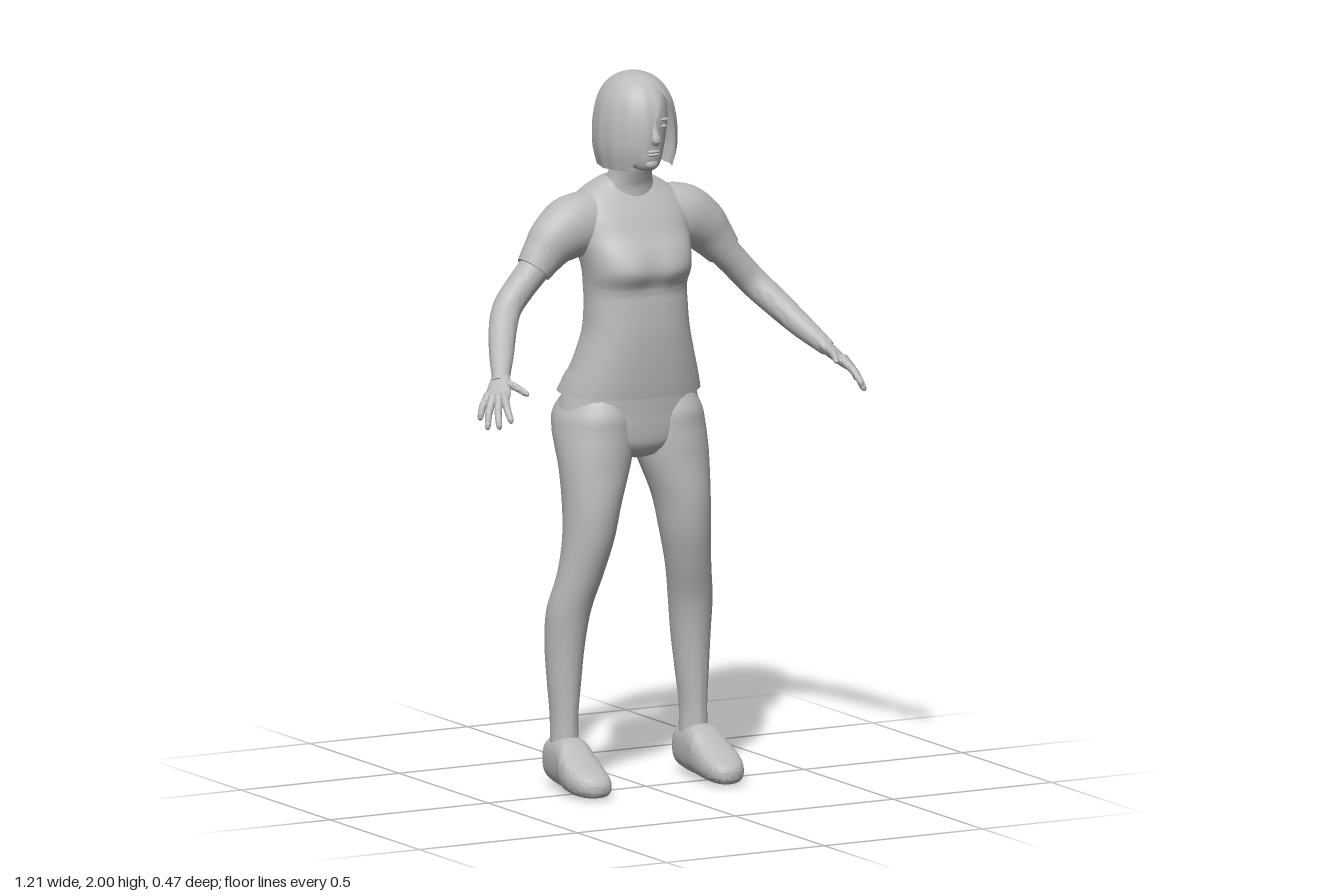
import * as THREE from 'three';
import { toCreasedNormals } from 'three/addons/utils/BufferGeometryUtils.js';

const V = (x, y, z) => new THREE.Vector3(x, y, z);

// Catmull-Rom interpolation of rows of numbers
function smooth(rows, n = 5) {
  const out = [], last = rows.length - 1;
  for (let i = 0; i < last; i++) {
    const [a, b, c, d] = [rows[Math.max(i - 1, 0)], rows[i], rows[i + 1], rows[Math.min(i + 2, last)]];
    for (let k = 0; k < n; k++) {
      const t = k / n;
      out.push(b.map((p, j) => p + 0.5 * t * (c[j] - a[j]
        + t * (2 * a[j] - 5 * p + 4 * c[j] - d[j] + t * (3 * (p - c[j]) + d[j] - a[j])))));
    }
  }
  out.push(rows[last]);
  return out;
}

// Closed skin over superellipse sections {c, u, v}; s = -1 mirrors it in x
function loft(sections, { sides = 32, power = 2, s = 1, tweak = null } = {}) {
  const pos = [], idx = [], n = sections.length;
  const sp = (w) => Math.sign(w) * Math.pow(Math.abs(w), 2 / power);
  const put = (p) => { if (tweak) tweak(p); pos.push(p.x * s, p.y, p.z); };
  for (const { c, u, v } of sections) {
    for (let j = 0; j < sides; j++) {
      const a = (j / sides) * Math.PI * 2;
      put(c.clone().addScaledVector(u, sp(Math.cos(a))).addScaledVector(v, sp(Math.sin(a))));
    }
  }
  put(sections[0].c.clone());
  put(sections[n - 1].c.clone());
  for (let j = 0; j < sides; j++) {
    const k = (j + 1) % sides, e = (n - 1) * sides;
    for (let i = 0; i < n - 1; i++) {
      const o = i * sides, q = o + sides;
      idx.push(o + j, q + j, o + k, o + k, q + j, q + k);
    }
    idx.push(n * sides, j, k, n * sides + 1, e + k, e + j);
  }
  // Turn the skin outward by the sign of its volume
  const at = (i) => V(pos[3 * i], pos[3 * i + 1], pos[3 * i + 2]);
  let volume = 0;
  for (let i = 0; i < idx.length; i += 3) volume += at(idx[i]).dot(at(idx[i + 1]).cross(at(idx[i + 2])));
  if (volume < 0) idx.reverse();
  const g = new THREE.BufferGeometry();
  g.setAttribute('position', new THREE.Float32BufferAttribute(pos, 3));
  g.setIndex(idx);
  return toCreasedNormals(g, 1.0);
}

// Upright rows: y, centre x, half width, front z, back z
const upright = (rows) => smooth(rows).map(([y, x, r, f, b]) =>
  ({ c: V(x, y, (f + b) / 2), u: V(r, 0, 0), v: V(0, 0, (f - b) / 2) }));

// Lengthwise rows: z, centre x, half width, top y, bottom y
const lengthwise = (rows) => smooth(rows).map(([z, x, r, t, b]) =>
  ({ c: V(x, (t + b) / 2, z), u: V(r, 0, 0), v: V(0, (t - b) / 2, 0) }));

// Limb rows: x, y, z, radius across, radius along ref
function limb(rows, ref = V(0, 0, 1)) {
  const p = smooth(rows.map((r) => (r.length < 5 ? [...r, r[3]] : r)));
  return p.map((r, i) => {
    const a = p[Math.max(i - 1, 0)], b = p[Math.min(i + 1, p.length - 1)];
    const t = V(b[0] - a[0], b[1] - a[1], b[2] - a[2]).normalize();
    const u = t.clone().cross(ref).normalize();
    const v = u.clone().cross(t);
    return { c: V(r[0], r[1], r[2]), u: u.multiplyScalar(r[3]), v: v.multiplyScalar(r[4]) };
  });
}

// Bob haircut: a dome whose lower edge sweeps across the face
function hairGeometry() {
  const profile = [[2, 0], [1.995, 0.27], [1.98, 0.53], [1.955, 0.74], [1.92, 0.89], [1.87, 0.98],
    [1.82, 1], [1.78, 0.97], [1.73, 0.86]];
  const edge = [[-180, 1.75], [-90, 1.735], [-45, 1.735], [-28, 1.77], [0, 1.89], [20, 1.96], [30, 1.92],
    [45, 1.79], [56, 1.735], [90, 1.735], [180, 1.75]];
  const lerp = (table, x) => {
    let i = 0;
    while (i < table.length - 2 && (x - table[i + 1][0]) * (table[1][0] - table[0][0]) > 0) i++;
    const [a, b] = [table[i], table[i + 1]];
    return a[1] + (b[1] - a[1]) * (x - a[0]) / (b[0] - a[0]);
  };
  const curve = smooth(profile, 6);
  const cols = 96, rows = 28, pos = [], idx = [];
  for (let i = 0; i <= rows; i++) {
    for (let j = 0; j <= cols; j++) {
      const deg = -180 + (360 * j) / cols, a = THREE.MathUtils.degToRad(deg);
      const t = i / rows, y = 2 - (2 - lerp(edge, deg)) * Math.pow(t, 1.6);
      const r = lerp(curve, y) * (1 + 0.012 * t * Math.sin(a * 15));
      pos.push(0.112 * r * Math.sin(a), y, -0.065 + 0.135 * r * Math.cos(a));
      if (i < rows && j < cols) {
        const o = i * (cols + 1) + j, q = o + cols + 1;
        idx.push(o, q, o + 1, o + 1, q, q + 1);
      }
    }
  }
  const g = new THREE.BufferGeometry();
  g.setAttribute('position', new THREE.Float32BufferAttribute(pos, 3));
  g.setIndex(idx);
  g.computeVertexNormals();
  return g;
}

export function createModel() {
  const grey = new THREE.MeshStandardMaterial({ color: 0xbbbbbb, side: THREE.DoubleSide });
  grey.name = 'grey';
  const model = new THREE.Group();
  model.name = 'woman';
  const add = (name, geometry, parent = model) => {
    const m = new THREE.Mesh(geometry, grey);
    m.name = name;
    parent.add(m);
    return m;
  };
  const ball = (name, x, y, z, rx, ry, rz) => {
    const m = add(name, new THREE.SphereGeometry(1, 16, 12));
    m.position.set(x, y, z);
    m.scale.set(rx, ry, rz);
  };

  // Shirt body, with a shallow dip between the breasts and along the spine
  add('shirt', loft(upright([
    [1.1, 0, 0.207, 0.035, -0.232], [1.14, 0, 0.195, 0.04, -0.212], [1.2, 0, 0.175, 0.045, -0.185],
    [1.28, 0, 0.154, 0.048, -0.166], [1.35, 0, 0.148, 0.045, -0.163], [1.4, 0, 0.147, 0.045, -0.17],
    [1.45, 0, 0.152, 0.07, -0.18], [1.5, 0, 0.16, 0.055, -0.193], [1.55, 0, 0.17, 0.02, -0.202],
    [1.6, 0, 0.175, -0.008, -0.205], [1.64, 0, 0.16, -0.035, -0.202], [1.67, 0, 0.122, -0.055, -0.19],
    [1.69, 0, 0.088, -0.065, -0.175], [1.7, 0, 0.065, -0.07, -0.165],
  ]), {
    sides: 48, power: 2.4, tweak: (p) => {
      const mid = Math.exp(-((p.x / 0.035) ** 2));
      if (p.z > 0) p.z -= 0.012 * mid * Math.exp(-(((p.y - 1.46) / 0.06) ** 2));
      if (p.z < -0.15) p.z += 0.015 * mid * Math.exp(-(((p.y - 1.48) / 0.14) ** 2));
      if (p.y < 1.16) p.y -= p.z * 0.06 + 0.003;
    },
  }));

  // Hips
  add('hips', loft(upright([
    [1.14, 0, 0.18, 0.02, -0.19], [1.1, 0, 0.198, 0.022, -0.215], [1.05, 0, 0.21, 0.02, -0.222],
    [1.0, 0, 0.205, 0.018, -0.195], [0.96, 0, 0.15, 0.012, -0.16], [0.93, 0, 0.08, -0.01, -0.13],
    [0.92, 0, 0.03, -0.03, -0.1],
  ]), { power: 2.2 }));

  // Neck and head
  add('neck', loft(upright([
    [1.6, 0, 0.08, -0.04, -0.17], [1.67, 0, 0.075, -0.042, -0.165], [1.7, 0, 0.064, -0.034, -0.155],
    [1.74, 0, 0.056, -0.02, -0.14], [1.8, 0, 0.056, -0.015, -0.135],
  ])));
  add('head', loft(upright([
    [1.732, 0, 0.018, 0.022, -0.02], [1.742, 0, 0.038, 0.032, -0.05], [1.765, 0, 0.054, 0.04, -0.1],
    [1.79, 0, 0.066, 0.042, -0.14], [1.83, 0, 0.076, 0.046, -0.16], [1.88, 0, 0.082, 0.048, -0.17],
    [1.93, 0, 0.074, 0.036, -0.16], [1.955, 0, 0.055, 0.008, -0.13],
  ])));
  add('hair', hairGeometry());
  add('nose', loft(limb([[0, 1.875, 0.043, 0.007], [0, 1.845, 0.05, 0.009], [0, 1.822, 0.055, 0.013],
    [0, 1.812, 0.05, 0.009]]), { sides: 16 }));
  ball('upperLip', 0, 1.789, 0.042, 0.021, 0.0045, 0.009);
  ball('lowerLip', 0, 1.78, 0.041, 0.018, 0.0055, 0.009);
  ball('chin', 0, 1.752, 0.03, 0.02, 0.014, 0.012);

  for (const s of [1, -1]) {
    const side = s > 0 ? 'left' : 'right';
    ball(side + 'Eye', s * 0.031, 1.857, 0.037, 0.014, 0.006, 0.007);
    ball(side + 'Brow', s * 0.033, 1.876, 0.037, 0.02, 0.004, 0.008);

    // Sleeve and arm
    add(side + 'Sleeve', loft(limb([
      [0.08, 1.575, -0.115, 0.09, 0.075], [0.17, 1.57, -0.11, 0.09, 0.08], [0.23, 1.54, -0.105, 0.076, 0.068],
      [0.265, 1.505, -0.103, 0.063, 0.057], [0.3, 1.463, -0.1, 0.051, 0.05],
    ]), { s }));
    add(side + 'Arm', loft(limb([
      [0.27, 1.5, -0.1, 0.044], [0.3, 1.463, -0.1, 0.044], [0.345, 1.415, -0.098, 0.042],
      [0.39, 1.365, -0.088, 0.041], [0.43, 1.315, -0.042, 0.039], [0.47, 1.26, 0.022, 0.034],
      [0.505, 1.215, 0.08, 0.026], [0.52, 1.197, 0.1, 0.022],
    ]), { sides: 24, s }));

    // Hand
    const hand = new THREE.Group();
    hand.name = side + 'Hand';
    model.add(hand);
    add('palm', loft(limb([
      [0.503, 1.217, 0.078, 0.024, 0.02], [0.523, 1.193, 0.105, 0.034, 0.018],
      [0.545, 1.167, 0.132, 0.04, 0.015], [0.558, 1.15, 0.148, 0.036, 0.01],
    ], V(0.6, 0.77, 0.24)), { sides: 24, s }), hand);
    const fingers = [
      ['indexFinger', [0.538, 1.165, 0.163], [0.555, 1.11, 0.23]],
      ['middleFinger', [0.551, 1.157, 0.152], [0.578, 1.09, 0.203]],
      ['ringFinger', [0.563, 1.154, 0.134], [0.595, 1.085, 0.166]],
      ['littleFinger', [0.568, 1.158, 0.113], [0.597, 1.105, 0.127]],
      ['thumb', [0.508, 1.198, 0.12], [0.488, 1.178, 0.205]],
    ];
    for (const [name, a, b] of fingers) {
      const row = (t, r, lift) => [a[0] + (b[0] - a[0]) * t + lift * 0.6, a[1] + (b[1] - a[1]) * t + lift,
        a[2] + (b[2] - a[2]) * t, r];
      add(name, loft(limb([row(-0.25, 0.012, 0), row(0.1, 0.0115, 0.003), row(0.5, 0.01, 0.006),
        row(0.9, 0.008, 0.002), row(1, 0.003, 0)], V(1, 0, 0)), { sides: 12, s }), hand);
    }

    // Trouser leg
    add(side + 'Leg', loft(upright([
      [1.11, 0.105, 0.075, -0.01, -0.19], [1.05, 0.11, 0.104, 0.02, -0.233], [1.0, 0.112, 0.112, 0.024, -0.222],
      [0.95, 0.118, 0.108, 0.028, -0.195], [0.9, 0.125, 0.1, 0.03, -0.168], [0.8, 0.141, 0.08, 0.035, -0.145],
      [0.7, 0.153, 0.07, 0.025, -0.132], [0.6, 0.171, 0.063, 0, -0.135], [0.5, 0.192, 0.061, -0.028, -0.158],
      [0.4, 0.199, 0.054, -0.043, -0.165], [0.3, 0.202, 0.046, -0.05, -0.155], [0.2, 0.204, 0.037, -0.052, -0.146],
      [0.12, 0.204, 0.038, -0.05, -0.144],
    ]), { s }));

    // Shoe, with a rounded toe and flat sole
    add(side + 'Shoe', loft(lengthwise([
      [-0.166, 0.205, 0.012, 0.1, 0.05], [-0.157, 0.205, 0.034, 0.13, 0.024], [-0.1, 0.206, 0.047, 0.144, 0.012],
      [-0.04, 0.208, 0.055, 0.147, 0.008], [0, 0.212, 0.061, 0.118, 0.004], [0.05, 0.213, 0.06, 0.089, 0.001],
      [0.09, 0.21, 0.049, 0.069, 0.002], [0.114, 0.206, 0.03, 0.054, 0.008], [0.123, 0.205, 0.008, 0.04, 0.02],
    ]), { power: 2.6, s }));
  }
  return model;
}
